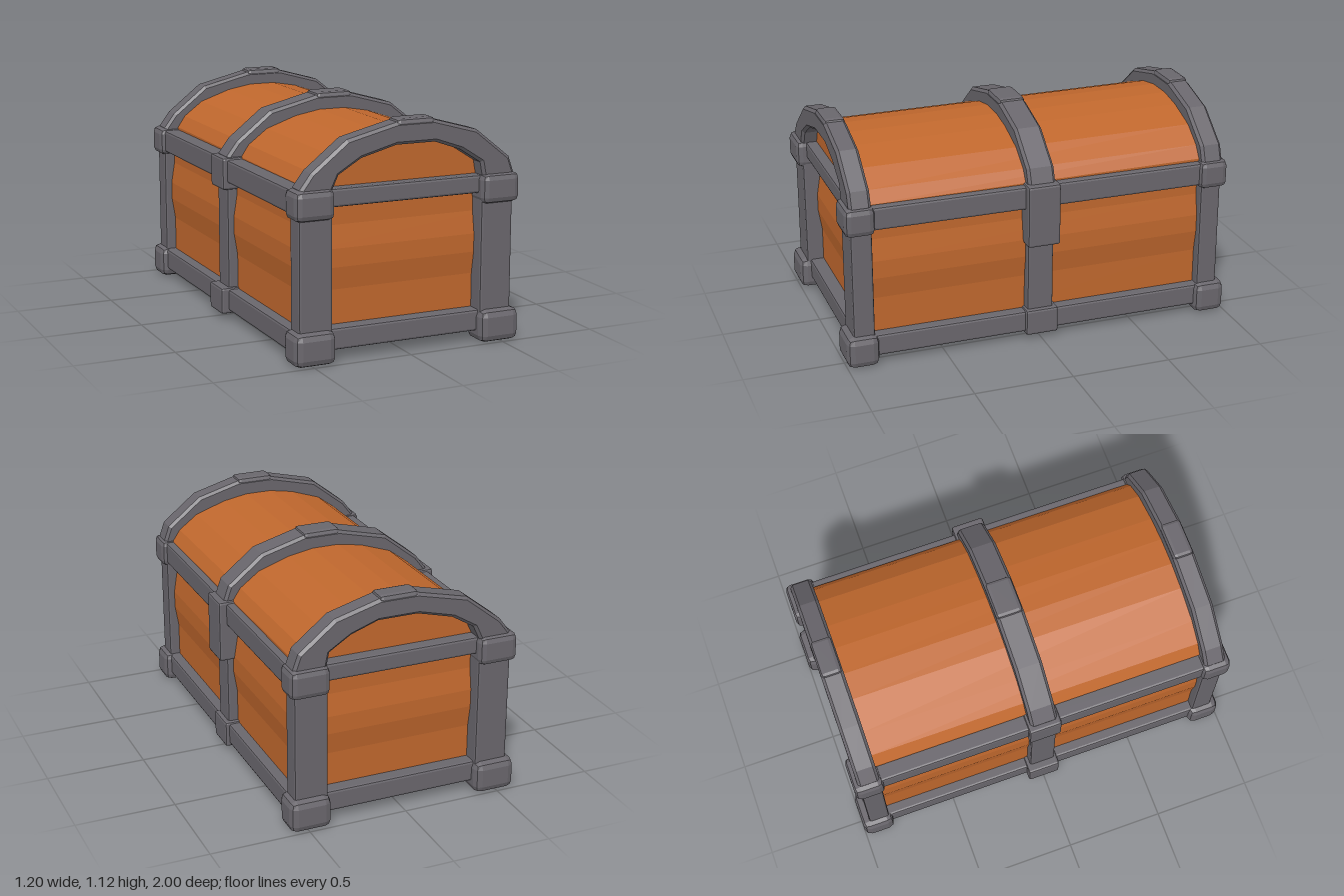
import * as THREE from 'three';
import { RoundedBoxGeometry } from 'three/addons/geometries/RoundedBoxGeometry.js';

const wood = new THREE.MeshStandardMaterial({ color: 0xbf672d });
wood.name = 'orange wood';
const iron = new THREE.MeshStandardMaterial({ color: 0x69666c });
iron.name = 'grey iron';

function flat(geometry) {
  const g = geometry.index ? geometry.toNonIndexed() : geometry;
  g.computeVertexNormals();
  return g;
}

function shapeFrom(points) {
  return new THREE.Shape(points.map(([x, y]) => new THREE.Vector2(x, y)));
}

export function createModel() {
  const model = new THREE.Group();
  model.name = 'chest';

  function add(name, geometry, material) {
    const mesh = new THREE.Mesh(flat(geometry), material);
    mesh.name = name;
    model.add(mesh);
    return mesh;
  }

  // Iron box with chamfered edges, given by its limits on each axis
  function block(name, [x0, x1], [y0, y1], [z0, z1], bevel = 0.012) {
    const g = new RoundedBoxGeometry(x1 - x0, y1 - y0, z1 - z0, 1, bevel);
    g.translate((x0 + x1) / 2, (y0 + y1) / 2, (z0 + z1) / 2);
    return add(name, g, iron);
  }

  // Limits mirrored to the chosen side
  const side = (s, a, b) => (s > 0 ? [a, b] : [-b, -a]);

  // Body: a box whose walls bulge gently at mid height
  const levels = [0.08, 0.33, 0.44, 0.53, 0.64, 0.79];
  const bulge = [0, 0, 0.018, 0.018, 0, 0];
  const body = new THREE.BoxGeometry(1, 5, 1, 1, 5, 1);
  const pos = body.attributes.position;
  for (let i = 0; i < pos.count; i++) {
    const row = Math.round(pos.getY(i) + 2.5);
    pos.setXYZ(i,
      Math.sign(pos.getX(i)) * (0.505 + bulge[row]),
      levels[row],
      Math.sign(pos.getZ(i)) * (0.875 + bulge[row]));
  }
  add('body', body, wood);

  // Vaulted lid, a touch higher at the back
  const half = [[0.5, 0.77], [0.5, 0.83], [0.46, 0.89], [0.36, 0.965], [0.2, 1.02], [0.07, 1.043]];
  const vault = [...half, ...half.map(([x, y]) => [-x, y]).reverse()];
  const lidGeometry = new THREE.ExtrudeGeometry(shapeFrom(vault), { depth: 1.76, bevelEnabled: false });
  lidGeometry.translate(0.02, 0, -0.88);
  const lid = add('lid', lidGeometry, wood);
  lid.rotation.x = 0.006;

  // Three arched bands over the lid, each with a raised crown
  const b = 0.014;
  const arch = [
    [0.55, 0.78], [0.55, 0.83], [0.525, 0.9], [0.352, 1.038], [0.13, 1.1], [-0.06, 1.1],
    [-0.312, 1.038], [-0.487, 0.9], [-0.54, 0.83], [-0.54, 0.78],
    [-0.405, 0.78], [-0.405, 0.825], [-0.37, 0.9], [-0.25, 0.973], [-0.065, 1.022],
    [0.14, 1.022], [0.28, 0.973], [0.395, 0.9], [0.41, 0.825], [0.41, 0.78],
  ];
  for (const [name, z0, z1] of [['frontBand', 0.855, 0.965], ['middleBand', -0.07, 0.07], ['backBand', -0.965, -0.855]]) {
    const g = new THREE.ExtrudeGeometry(shapeFrom(arch), {
      depth: z1 - z0 - 2 * b, bevelThickness: b, bevelSize: b, bevelSegments: 1,
    });
    g.translate(0, 0, z0 + b);
    add(name, g, iron);
    block(name + 'Crown', [-0.065, 0.135], [1.06, 1.128], [z0 + 0.002, z1 - 0.002], 0.02);
  }

  // Corner posts and their heavy caps
  for (const x of [1, -1]) {
    for (const z of [1, -1]) {
      block('cornerPost', side(x, 0.39, 0.56), [0.1, 0.76], side(z, 0.855, 0.962));
      block('topCornerCap', side(x, 0.385, 0.585), [0.688, 0.833], side(z, 0.84, 0.99), 0.03);
      block('bottomCornerCap', side(x, 0.382, 0.592), [0.003, 0.165], side(z, 0.838, 1), 0.035);
    }
  }

  // Rails along the ends
  for (const z of [1, -1]) {
    block('topEndRail', [-0.45, 0.45], [0.737, 0.825], side(z, 0.85, 0.94));
    block('bottomEndRail', [-0.45, 0.45], [0.057, 0.163], side(z, 0.85, 0.945));
  }

  // Rails, middle post and foot block along the long sides
  for (const x of [1, -1]) {
    block('topSideRail', side(x, 0.45, 0.56), [0.705, 0.822], [-0.9, 0.9]);
    block('bottomSideRail', side(x, 0.43, 0.56), [0.045, 0.155], [-0.9, 0.9]);
    block('middlePost', side(x, 0.46, 0.556), [0.1, 0.76], [-0.065, 0.07]);
    block('footBlock', side(x, 0.44, x > 0 ? 0.58 : 0.6), [0.03, 0.165], [-0.085, 0.083]);
  }

  // Clasp on one side, hinge on the other
  block('clasp', [0.47, 0.6], [0.515, 0.833], [-0.085, 0.083]);
  block('hinge', [-0.585, -0.47], [0.67, 0.833], [-0.085, 0.083]);

  return model;
}
